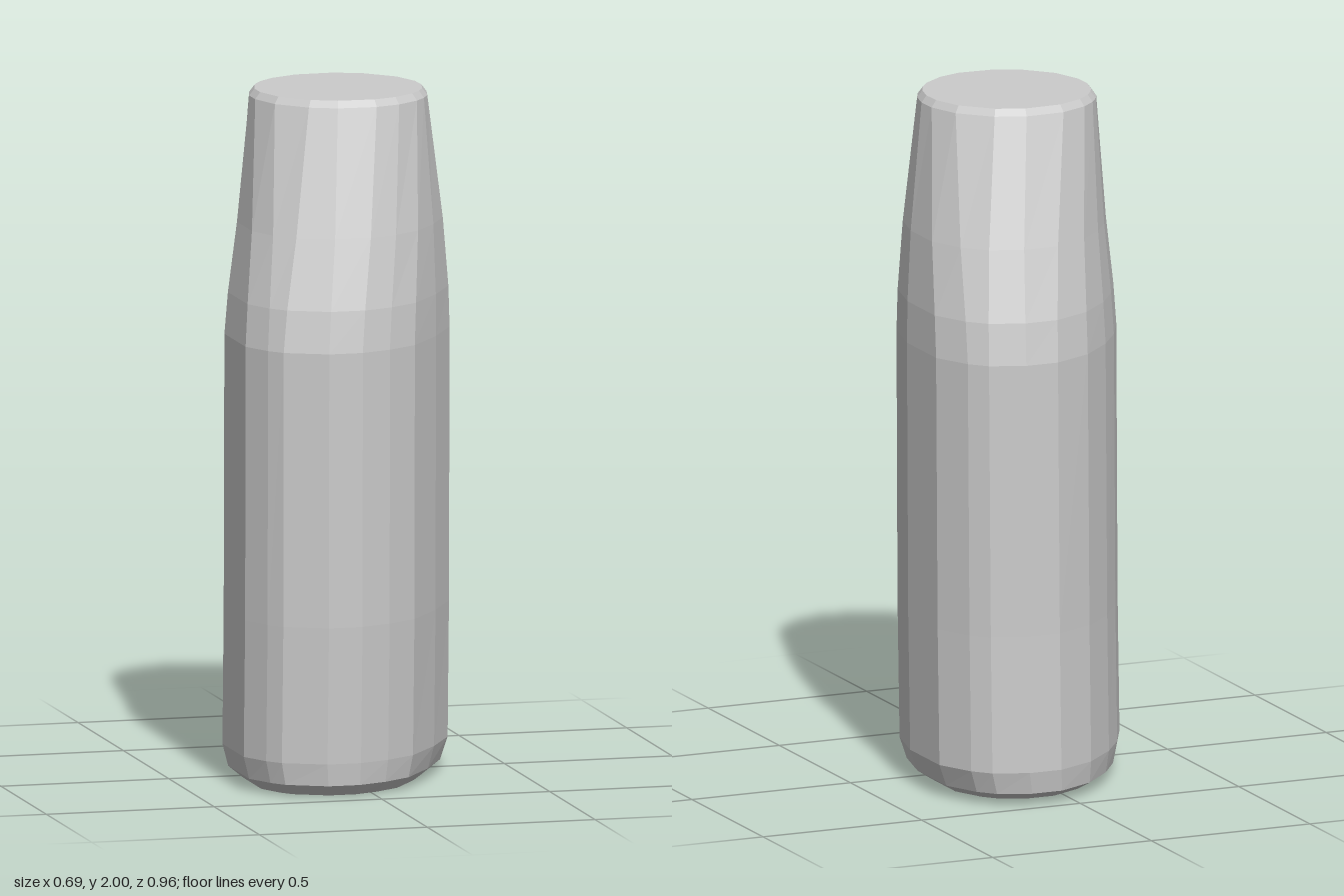
import * as THREE from 'three';

// Slanted oval section of the body as [x, z], from the back round to the left
const OVAL = [
  [0.05, -0.48], [0.15, -0.48], [0.25, -0.44], [0.295, -0.39], [0.347, -0.28],
  [0.347, -0.07], [0.31, 0.09], [0.23, 0.24], [0.13, 0.38], [0.04, 0.44],
  [-0.05, 0.475], [-0.15, 0.475], [-0.27, 0.415], [-0.305, 0.37], [-0.348, 0.28],
  [-0.348, 0.04], [-0.30, -0.10], [-0.24, -0.22], [-0.17, -0.32], [-0.07, -0.42],
];
const N = OVAL.length;

// Round rim: each point faces the same way as its partner on the oval
const ROUND = OVAL.map((_, i) => {
  const [ax, az] = OVAL[(i + N - 1) % N];
  const [bx, bz] = OVAL[(i + 1) % N];
  const length = Math.hypot(bx - ax, bz - az);
  return [(bz - az) / length, -(bx - ax) / length];
});

const ovalRing = (y, sx, sz, dx, dz) =>
  OVAL.map(([x, z]) => new THREE.Vector3(x * sx + dx, y, z * sz + dz));

const roundRing = (y, r) =>
  ROUND.map(([x, z]) => new THREE.Vector3(x * r, y, z * r + 0.017));

// Skin over a stack of rings, with flat caps at both ends
function loft(rings) {
  const positions = [];
  const tri = (...points) => points.forEach((p) => positions.push(p.x, p.y, p.z));
  const centre = (ring) =>
    ring.reduce((sum, p) => sum.add(p), new THREE.Vector3()).divideScalar(N);
  const bottom = rings[0];
  const top = rings[rings.length - 1];
  const bottomCentre = centre(bottom);
  const topCentre = centre(top);
  for (let i = 0; i < N; i++) {
    const k = (i + 1) % N;
    for (let j = 0; j < rings.length - 1; j++) {
      const lower = rings[j];
      const upper = rings[j + 1];
      tri(lower[i], upper[i], lower[k]);
      tri(lower[k], upper[i], upper[k]);
    }
    tri(bottomCentre, bottom[i], bottom[k]);
    tri(topCentre, top[k], top[i]);
  }
  const geometry = new THREE.BufferGeometry();
  geometry.setAttribute('position', new THREE.Float32BufferAttribute(positions, 3));
  geometry.computeVertexNormals();
  return geometry;
}

export function createModel() {
  const group = new THREE.Group();
  group.name = 'bottle';

  const shoulderBase = ovalRing(1.3, 1, 0.975, 0, 0.012);
  const rim = roundRing(1.98, 0.258);
  // Shoulder ring: t runs from the rim (0) to the body (1)
  const shoulder = (y, t, dx) => rim.map((p, i) => {
    const q = p.clone().lerp(shoulderBase[i], t);
    return q.set(q.x + dx, y, q.z);
  });

  const rings = [
    ovalRing(0, 0.8, 0.82, -0.01, 0.01), // base
    ovalRing(0.035, 0.94, 0.96, -0.004, -0.008), // rounded foot
    ovalRing(0.1, 1, 0.98, 0, -0.01),
    ovalRing(0.5, 1, 0.985, 0, 0.004), // sides
    shoulderBase,
    shoulder(1.42, 0.9, 0.003),
    shoulder(1.62, 0.59, 0.007),
    rim,
    roundRing(2, 0.243), // bevelled top
  ];

  const material = new THREE.MeshStandardMaterial({ color: 0xcccccc, flatShading: true });
  const body = new THREE.Mesh(loft(rings), material);
  body.name = 'bottleBody';
  group.add(body);
  return group;
}
